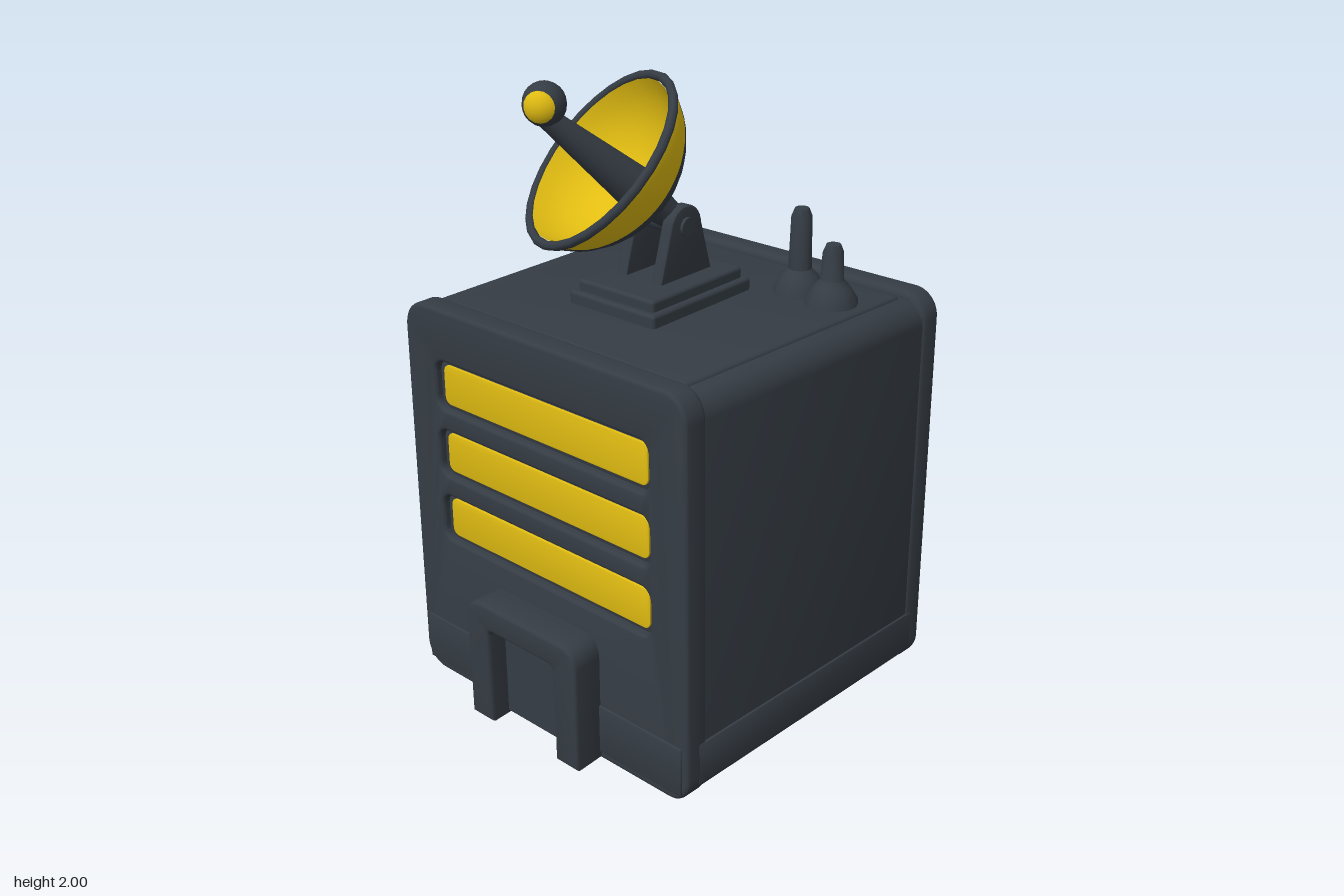
import * as THREE from 'three';
import { toCreasedNormals } from 'three/addons/utils/BufferGeometryUtils.js';
import { RoundedBoxGeometry } from 'three/addons/geometries/RoundedBoxGeometry.js';
import { ParametricGeometry } from 'three/addons/geometries/ParametricGeometry.js';

const dark = new THREE.MeshStandardMaterial({ color: 0x353c44 });
dark.name = 'charcoal';
const yellow = new THREE.MeshStandardMaterial({ color: 0xe2bd12, side: THREE.DoubleSide });
yellow.name = 'yellow';

function add(parent, name, geometry, material, x = 0, y = 0, z = 0) {
  const m = new THREE.Mesh(geometry, material);
  m.name = name;
  m.position.set(x, y, z);
  parent.add(m);
  return m;
}

// Rounded rectangle outline
function roundRect(x0, y0, x1, y1, r, Kind = THREE.Shape) {
  const s = new Kind();
  s.absarc(x1 - r, y0 + r, r, -Math.PI / 2, 0);
  s.absarc(x1 - r, y1 - r, r, 0, Math.PI / 2);
  s.absarc(x0 + r, y1 - r, r, Math.PI / 2, Math.PI);
  s.absarc(x0 + r, y0 + r, r, Math.PI, Math.PI * 1.5);
  s.closePath();
  return s;
}

// Bevelled extrusion that keeps the outline size and fills z0..z1
function slab(shape, z0, z1, bevel = 0.02) {
  const g = new THREE.ExtrudeGeometry(shape, {
    depth: z1 - z0 - 2 * bevel, bevelSize: bevel, bevelThickness: bevel,
    bevelOffset: -bevel, bevelSegments: 3, curveSegments: 6,
  });
  return g.translate(0, 0, z0 + bevel);
}

// Narrow towards the roof; the left wall also leans in towards the front
function taper(g) {
  const p = g.attributes.position;
  for (let i = 0; i < p.count; i++) {
    let x = p.getX(i) * (1 - 0.03 * p.getY(i) / 1.3);
    if (x > 0) x *= 1 - 0.064 * (p.getZ(i) + 0.55) / 0.55;
    p.setX(i, x);
  }
  g.computeVertexNormals();
  return toCreasedNormals(g, 0.6);
}

function box(x0, x1, y0, y1, z0, z1, r = 0.003) {
  return new RoundedBoxGeometry(x1 - x0, y1 - y0, z1 - z0, 2, r)
    .translate((x0 + x1) / 2, (y0 + y1) / 2, (z0 + z1) / 2);
}

function buildBody(g) {
  add(g, 'body', taper(slab(roundRect(-0.60, 0.005, 0.63, 1.3, 0.075), -0.54, 0.505)), dark);
  add(g, 'backRim', taper(slab(roundRect(-0.605, 0.003, 0.635, 1.325, 0.085), -0.555, -0.47)), dark);

  // Front panel with three recessed windows
  const front = roundRect(-0.605, 0, 0.635, 1.315, 0.085);
  [0.605, 0.835, 1.065].forEach((y) => {
    front.holes.push(roundRect(-0.475, y - 0.08, 0.475, y + 0.08, 0.04, THREE.Path));
    add(g, 'window', taper(slab(roundRect(-0.455, y - 0.066, 0.455, y + 0.066, 0.025), 0.524, 0.532, 0.002)), yellow);
    add(g, 'windowBed', taper(box(-0.49, 0.49, y - 0.09, y + 0.09, 0.50, 0.525)), dark);
  });
  add(g, 'frontPanel', taper(slab(front, 0.47, 0.55, 0.012)), dark);

  // Skirting bands and roof panel
  add(g, 'frontSkirt', taper(box(-0.58, 0.61, 0.03, 0.2, 0.54, 0.556)), dark);
  add(g, 'sideSkirt', taper(box(-0.606, 0.637, 0.06, 0.2, -0.5, 0.5)), dark);
  add(g, 'roofPanel', taper(box(-0.49, 0.55, 1.28, 1.31, -0.46, 0.47, 0.012)), dark);

  // Door surround: arch open at the foot
  const arch = new THREE.Shape();
  arch.moveTo(-0.235, 0.01);
  arch.lineTo(-0.14, 0.01);
  arch.lineTo(-0.14, 0.33);
  arch.quadraticCurveTo(-0.14, 0.35, -0.12, 0.35);
  arch.lineTo(0.12, 0.35);
  arch.quadraticCurveTo(0.14, 0.35, 0.14, 0.33);
  arch.lineTo(0.14, 0.01);
  arch.lineTo(0.235, 0.01);
  arch.lineTo(0.235, 0.37);
  arch.quadraticCurveTo(0.235, 0.44, 0.165, 0.44);
  arch.lineTo(-0.165, 0.44);
  arch.quadraticCurveTo(-0.235, 0.44, -0.235, 0.37);
  arch.closePath();
  add(g, 'doorSurround', toCreasedNormals(slab(arch, 0.53, 0.655, 0.012), 0.6), dark, -0.03);
  add(g, 'door', box(-0.15, 0.15, 0.015, 0.36, 0.54, 0.585, 0.008), dark, -0.03);
}

function buildMount(g) {
  add(g, 'mountBase', box(-0.17, 0.17, 1.28, 1.35, -0.225, 0.225, 0.012), dark, -0.02, 0, 0.015);
  add(g, 'mountPlate', box(-0.15, 0.15, 1.33, 1.385, -0.205, 0.205, 0.012), dark, -0.02, 0, 0.015);

  // Pair of rounded ears with an axle
  const ear = new THREE.Shape();
  ear.moveTo(-0.12, 0);
  ear.lineTo(0.12, 0);
  ear.lineTo(0.07, 0.17);
  ear.absarc(0, 0.165, 0.07, 0.2, Math.PI - 0.2);
  ear.closePath();
  for (const s of [-1, 1]) {
    const e = add(g, 'mountEar', toCreasedNormals(slab(ear, -0.02, 0.02, 0.006), 0.6), dark, -0.03 + s * 0.07, 1.37, -0.01);
    e.rotation.y = Math.PI / 2;
  }
  const axle = add(g, 'axle', new THREE.CylinderGeometry(0.03, 0.03, 0.2, 12), dark, -0.03, 1.54, -0.01);
  axle.rotation.z = Math.PI / 2;
}

function buildDish(root) {
  const axis = new THREE.Vector3(-0.45, 0.66, 0.6).normalize();
  const dish = new THREE.Group();
  dish.name = 'dish';
  dish.position.set(-0.05, 1.615, 0.025);
  dish.quaternion.setFromUnitVectors(new THREE.Vector3(0, 1, 0), axis);
  root.add(dish);

  // Spherical bowl: dark shell with rim, yellow lining
  const R = 0.3145, H = 0.22;
  const arc = (r, a) => new THREE.Vector2(r * Math.sin(a), R - r * Math.cos(a));
  const end = Math.acos(1 - H / R);
  const outer = [], inner = [];
  for (let i = 0; i <= 10; i++) {
    outer.push(arc(R, end * i / 10));
    inner.push(arc(R - 0.022, end * 0.99 * i / 10));
  }
  add(dish, 'bowl', new THREE.LatheGeometry(outer, 28), dark);
  add(dish, 'lining', new THREE.LatheGeometry(inner, 28), yellow);
  const rim = add(dish, 'rim', new THREE.TorusGeometry(0.293, 0.014, 8, 28), dark, 0, H, 0);
  rim.rotation.x = Math.PI / 2;

  // Painted lens-shaped patch outside, just below the rim
  const patch = (u, v, t) => {
    const phi = 0.93 + (u - 0.5) * 2.1;
    const a = end - 0.03 - v * 0.4 * Math.sqrt(Math.max(0, Math.sin(Math.PI * u)));
    const p = arc(R + 0.004, a);
    t.set(p.x * Math.sin(phi), p.y, p.x * Math.cos(phi));
  };
  add(dish, 'outerPatch', new ParametricGeometry(patch, 20, 6), yellow);

  // Feed horn and neck
  add(dish, 'feedHorn', new THREE.CylinderGeometry(0.03, 0.068, 0.38, 14), dark, 0, 0.25, 0);
  add(dish, 'neck', new THREE.CylinderGeometry(0.06, 0.04, 0.12, 12), dark, 0, -0.03, 0);

  // Ball with a yellow cap facing forwards
  const ball = new THREE.Group();
  ball.name = 'feedBall';
  ball.position.set(-0.245, 1.936, 0.285);
  root.add(ball);
  add(ball, 'ball', new THREE.SphereGeometry(0.064, 16, 12), dark);
  const cap = add(ball, 'ballCap', new THREE.SphereGeometry(0.067, 16, 6, 0, Math.PI * 2, 0, 0.75), yellow);
  cap.quaternion.setFromUnitVectors(new THREE.Vector3(0, 1, 0), new THREE.Vector3(0.3, 0.03, 0.95).normalize());
}

export function createModel() {
  const root = new THREE.Group();
  root.name = 'dishTower';

  const tower = new THREE.Group();
  tower.name = 'tower';
  tower.position.set(-0.02, 0, -0.02);
  tower.rotation.y = -THREE.MathUtils.degToRad(11.5);
  root.add(tower);
  buildBody(tower);
  buildMount(tower);
  buildDish(root);

  // Two roof aerials on flared feet
  for (const [x, z, top] of [[0.305, -0.255, 1.58], [0.432, -0.21, 1.5]]) {
    const profile = [[0.085, 1.28], [0.08, 1.325], [0.055, 1.365], [0.036, 1.385], [0.032, top - 0.03], [0.022, top - 0.005], [0, top]]
      .map(([r, y]) => new THREE.Vector2(r, y));
    add(root, 'aerial', toCreasedNormals(new THREE.LatheGeometry(profile, 12), 0.7), dark, x, 0, z);
  }
  return root;
}
